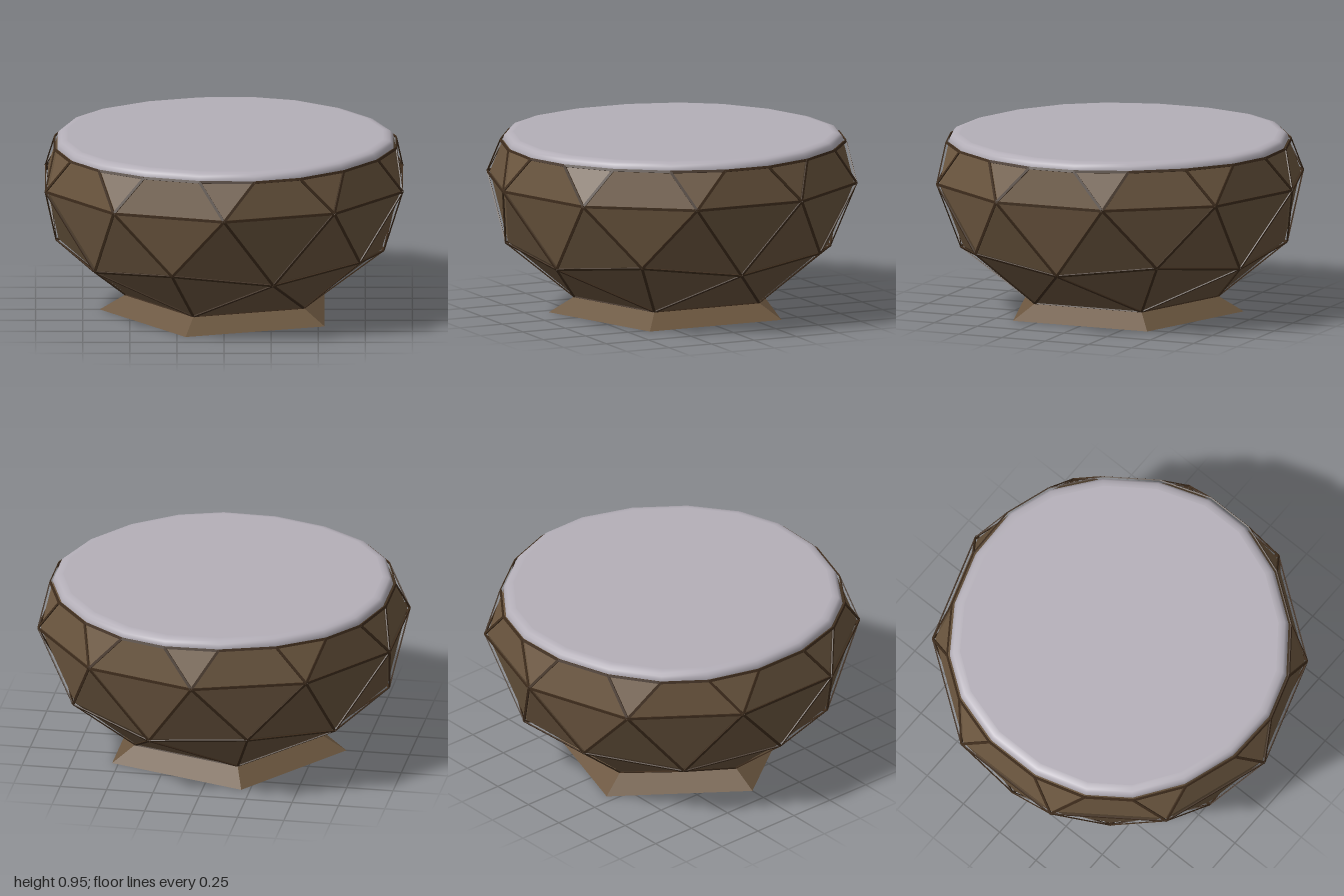
import * as THREE from 'three';
import { mergeGeometries } from 'three/addons/utils/BufferGeometryUtils.js';

const MID = 0.715, RIM = 0.91, FOOT = 0.08, SQUASH = 0.75;

const polar = (deg, r, y) => {
  const a = THREE.MathUtils.degToRad(deg);
  return new THREE.Vector3(Math.cos(a) * r, y, Math.sin(a) * r);
};

// Squashed geodesic bowl, cut flat at the rim: list of faces and the rim loop
function bowl(s) {
  const E = k => polar(18 + 36 * k, s, MID);
  const ring = (k, wide, sign) => polar(36 * k, s * (wide ? 0.894 : 0.851),
    MID + sign * s * SQUASH * (wide ? 0.447 : 0.526));
  const L = k => ring(k, k % 2 !== 0, -1);
  const U = k => ring(k, k % 2 === 0, 1);
  const B = k => polar(36 * k, s * 0.526, FOOT);
  const cut = (a, b) => a.clone().lerp(b, (RIM - MID) / (b.y - MID));
  const faces = [], rim = [];
  for (let k = 0; k < 10; k++) {
    const a = E(k), b = E(k + 1), left = cut(a, U(k)), right = cut(a, U(k + 1));
    faces.push([a, left, right], [a, b, cut(b, U(k + 1)), right]);
    faces.push([a, b, L(k + 1)], [a, L(k), L(k + 1)]);
    if (k % 2) faces.push([L(k), L(k + 1), B(k)], [L(k - 1), L(k), B(k)], [L(k + 1), B(k), B(k + 2)]);
    rim.push(left, right);
  }
  return { faces, rim };
}

function panelGeometry(faces) {
  const pos = [], centre = new THREE.Vector3(0, MID, 0);
  for (const f of faces) {
    const n = f[1].clone().sub(f[0]).cross(f[2].clone().sub(f[0]));
    const c = n.dot(f[0].clone().sub(centre)) < 0 ? [...f].reverse() : f;
    for (let i = 1; i < c.length - 1; i++)
      for (const p of [c[0], c[i], c[i + 1]]) pos.push(p.x, p.y, p.z);
  }
  const g = new THREE.BufferGeometry();
  g.setAttribute('position', new THREE.Float32BufferAttribute(pos, 3));
  g.computeVertexNormals();
  return g;
}

// One thin flat strip per unique edge, lying against the bowl
function stripGeometry(faces) {
  const seen = new Set(), strips = [];
  const key = p => p.toArray().map(v => Math.round(v * 1000) + 0).join();
  for (const f of faces) f.forEach((a, i) => {
    const b = f[(i + 1) % f.length], id = [key(a), key(b)].sort().join('|');
    if (seen.has(id)) return;
    seen.add(id);
    const dir = b.clone().sub(a), mid = a.clone().add(b).multiplyScalar(0.5);
    const g = new THREE.BoxGeometry(0.014, 0.006, dir.length());
    const z = dir.normalize();
    const out = mid.clone().setY((mid.y - MID) / SQUASH ** 2);
    const x = out.cross(z).normalize(), y = z.clone().cross(x);
    g.applyMatrix4(new THREE.Matrix4().makeBasis(x, y, z).setPosition(mid));
    strips.push(g);
  });
  return mergeGeometries(strips);
}

// Rounded lid edge swept round the rim loop
function lidEdge(rim, profile) {
  const pos = [], idx = [], n = rim.length;
  for (const [s, y] of profile) for (const p of rim) pos.push(p.x * s, y, p.z * s);
  for (let r = 0; r < profile.length - 1; r++)
    for (let i = 0; i < n; i++) {
      const a = r * n + i, b = r * n + (i + 1) % n;
      idx.push(a, a + n, b, b, a + n, b + n);
    }
  const g = new THREE.BufferGeometry();
  g.setAttribute('position', new THREE.Float32BufferAttribute(pos, 3));
  g.setIndex(idx);
  g.computeVertexNormals();
  return g;
}

export function createModel() {
  const group = new THREE.Group();
  const brown = new THREE.MeshStandardMaterial({ color: 0x6b563f, flatShading: true, side: THREE.DoubleSide });
  const dark = new THREE.MeshStandardMaterial({ color: 0x3f2d1d });
  const pale = new THREE.MeshStandardMaterial({ color: 0xb4afb8, side: THREE.DoubleSide });
  const add = (name, geometry, material) => {
    const m = new THREE.Mesh(geometry, material);
    m.name = name;
    group.add(m);
    return m;
  };

  const inner = bowl(0.982), outer = bowl(0.997);
  add('bowlPanels', panelGeometry(inner.faces), brown);
  add('edgeStrips', stripGeometry(outer.faces), dark);

  // Five-sided flared foot
  const foot = new THREE.CylinderGeometry(0.526, 0.66, FOOT, 5, 1, false, -Math.PI / 2);
  add('foot', foot, brown).position.y = FOOT / 2;

  // Pale top with a soft edge
  const profile = [[1, 0.905], [1, 0.918], [0.993, 0.936], [0.978, 0.948], [0.955, 0.954], [0.94, 0.955]];
  add('lidEdge', lidEdge(inner.rim, profile), pale);
  const top = new THREE.ShapeGeometry(new THREE.Shape(inner.rim.map(p => new THREE.Vector2(p.x * 0.94, -p.z * 0.94))));
  top.rotateX(-Math.PI / 2);
  add('lidTop', top, pale).position.y = 0.955;

  return group;
}
